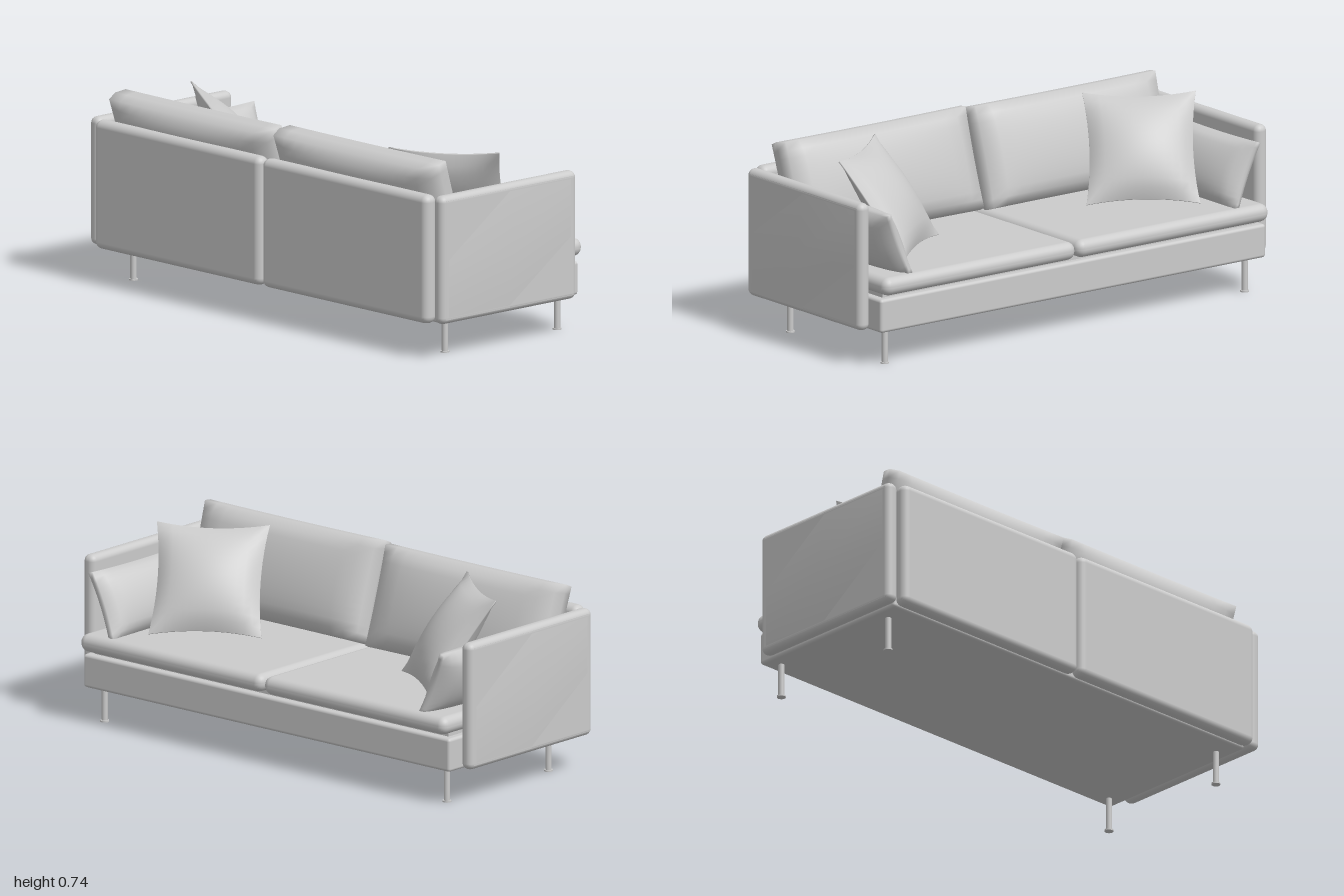
import * as THREE from 'three';
import { mergeVertices } from 'three/addons/utils/BufferGeometryUtils.js';
import { RoundedBoxGeometry } from 'three/addons/geometries/RoundedBoxGeometry.js';

const material = new THREE.MeshStandardMaterial({ color: 0xcccccc });
const thinMaterial = new THREE.MeshStandardMaterial({ color: 0xcccccc, side: THREE.DoubleSide });

export function createModel() {
  const sofa = new THREE.Group();
  sofa.name = 'sofa';

  const add = (name, geometry, x, y, z, mat = material) => {
    const mesh = new THREE.Mesh(geometry, mat);
    mesh.name = name;
    mesh.position.set(x, y, z);
    sofa.add(mesh);
    return mesh;
  };

  // Rounded block given by its limits on each axis
  const block = (name, [x0, x1], [y0, y1], [z0, z1], radius) =>
    add(name, new RoundedBoxGeometry(x1 - x0, y1 - y0, z1 - z0, 3, radius),
      (x0 + x1) / 2, (y0 + y1) / 2, (z0 + z1) / 2);

  // Stuffed cushion: swells in the middle, thin at the rim, sides drawn inward
  const cushionGeometry = (w, h, half, rim, pinch, power) => {
    const g = new THREE.BoxGeometry(2, 2, 2, 14, 12, 2);
    g.deleteAttribute('uv');
    g.deleteAttribute('normal');
    const p = g.attributes.position;
    for (let i = 0; i < p.count; i++) {
      const u = p.getX(i), v = p.getY(i), s = p.getZ(i);
      const swell = Math.pow(Math.max(0, (1 - u * u) * (1 - v * v)), power);
      const rimRound = 1 + (1 - s * s) * rim * 0.6; // rounds the rim outward
      p.setXYZ(i,
        w / 2 * u * (1 - pinch * (1 - v * v)) * rimRound,
        h / 2 * v * (1 - pinch * (1 - u * u)) * rimRound,
        s * (rim + (half - rim) * swell));
    }
    const smooth = mergeVertices(g, 1e-5);
    smooth.computeVertexNormals();
    return smooth;
  };

  // Turn a cushion to its facing angle, then lean its top backward
  const place = (name, geometry, x, y, z, turn, lean) => {
    const mesh = add(name, geometry, x, y, z);
    mesh.rotation.order = 'YXZ';
    mesh.rotation.set(-lean, turn, 0);
  };

  // Base and the recessed platform under the seats
  block('base', [-0.92, 0.92], [0.135, 0.265], [-0.38, 0.35], 0.012);
  add('seatPlatform', new THREE.BoxGeometry(1.78, 0.05, 0.66), 0, 0.275, -0.02);

  const backCushion = cushionGeometry(0.86, 0.39, 0.1, 0.045, 0.01, 0.45);
  const armCushion = cushionGeometry(0.52, 0.27, 0.07, 0.012, 0.04, 0.5);
  const throwPillow = cushionGeometry(0.43, 0.45, 0.075, 0.003, 0.09, 0.7);

  // Shallow pointed swelling on the outer arm face
  const bulge = new THREE.PlaneGeometry(0.66, 0.46, 2, 2);
  bulge.attributes.position.setZ(4, 0.024);
  bulge.computeVertexNormals();

  for (const s of [1, -1]) {
    const side = s > 0 ? 'left' : 'right';
    const span = (a, b) => s > 0 ? [a, b] : [-b, -a];

    // Panels and seats
    block(side + 'BackPanel', span(0.004, 0.92), [0.135, 0.632], [0.345, 0.408], 0.028);
    block(side + 'SeatCushion', span(0.003, 0.92), [0.28, 0.35], [-0.41, 0.315], 0.033);
    block(side + 'ArmPanel', span(0.922, 0.977), [0.138, 0.633], [-0.322, 0.378], 0.025);
    add(side + 'ArmBulge', bulge, s * 0.976, 0.385, 0.028, thinMaterial)
      .rotation.y = s * Math.PI / 2;

    // Loose cushions
    place(side + 'BackCushion', backCushion, s > 0 ? 0.445 : -0.462, s > 0 ? 0.542 : 0.534, 0.25, Math.PI, 0.3);
    place(side + 'ArmCushion', armCushion, s * 0.83, 0.465, -0.12, -s * Math.PI / 2, 0.4);
    place(side + 'ThrowPillow', throwPillow, s * 0.603, 0.538, -0.02, Math.atan2(-s * 0.56, -0.83), 0.6);

    // Legs with small foot discs
    for (const z of [0.255, -0.325]) {
      const end = z > 0 ? 'Back' : 'Front';
      add(side + end + 'Leg', new THREE.CylinderGeometry(0.012, 0.012, 0.14, 16), s * 0.86, 0.07, z);
      add(side + end + 'Foot', new THREE.CylinderGeometry(0.017, 0.017, 0.006, 16), s * 0.86, 0.003, z);
    }
  }
  return sofa;
}
